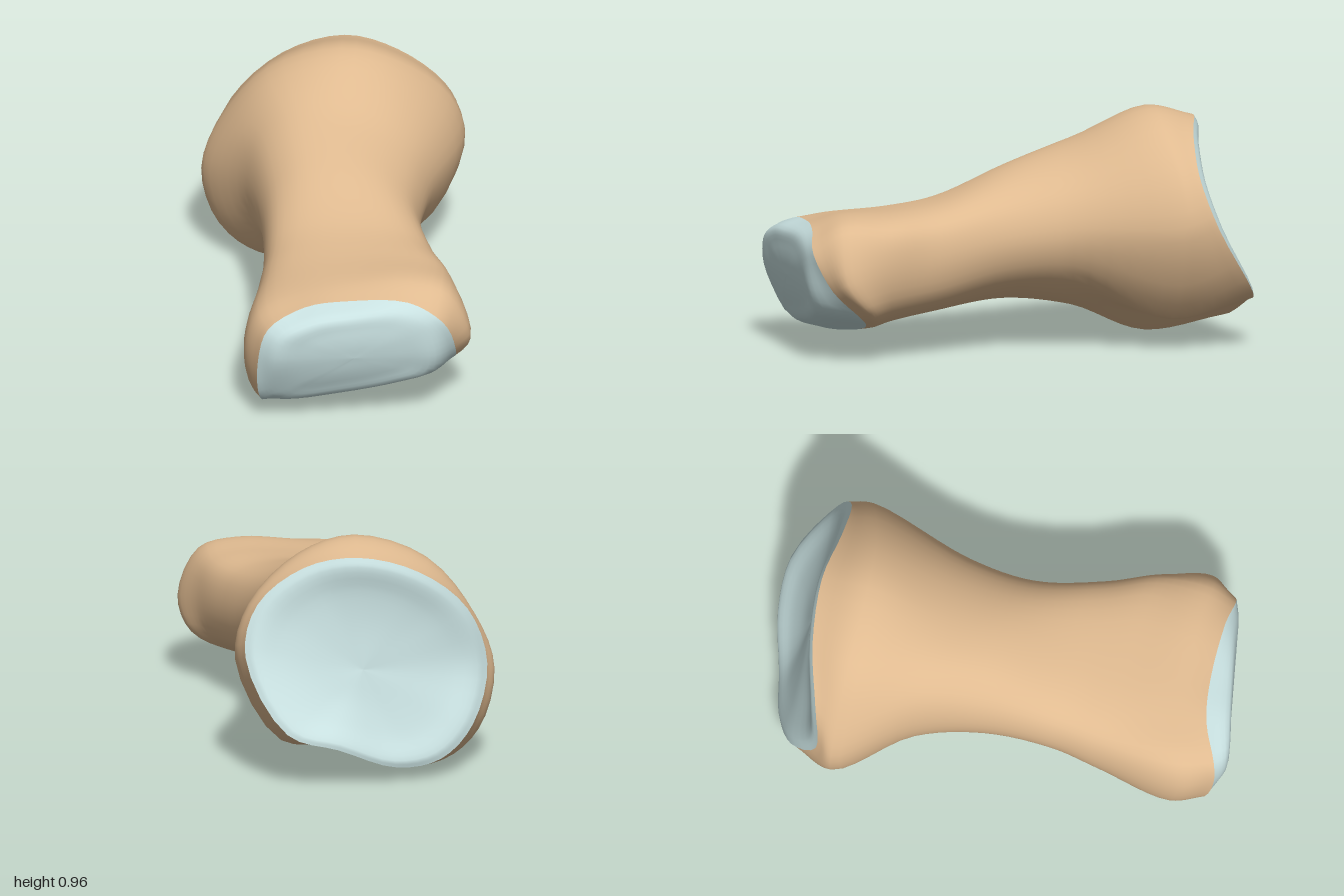
import * as THREE from 'three';

const COUNT = 12; // control points per cross-section, roughly every 30 degrees
const AROUND = 48;

// Shaft cross-section: rounded box or ellipse between limits,
// sloping sideways and growing thinner towards +x by the taper
function shaftRing(z, left, right, bottom, top, roundness, slope, taper) {
  const cx = (left + right) / 2, cy = (bottom + top) / 2;
  const ring = [];
  for (let k = 0; k < COUNT; k++) {
    const a = (k / COUNT) * Math.PI * 2;
    const c = Math.cos(a), s = Math.sin(a);
    const u = Math.sign(c) * Math.pow(Math.abs(c), roundness);
    const v = Math.sign(s) * Math.pow(Math.abs(s), roundness);
    const x = u * (right - left) / 2;
    const y = v * (1 - taper * u) * (top - bottom) / 2;
    ring.push(new THREE.Vector3(cx + x, cy + y + slope * x, z));
  }
  return ring;
}

const toRing = (points) => points.map((p) => new THREE.Vector3(...p));

// Smooth skin through the rings, ordered so that faces point outwards
function loft(rings, along) {
  const smooth = rings.map((r) => {
    const curve = new THREE.CatmullRomCurve3(r, true);
    return Array.from({ length: AROUND }, (_, j) => curve.getPoint(j / AROUND));
  });
  const lines = Array.from({ length: AROUND }, (_, j) =>
    new THREE.CatmullRomCurve3(smooth.map((r) => r[j])));
  const pos = [], index = [];
  for (let i = 0; i <= along; i++) {
    for (const line of lines) pos.push(...line.getPoint(i / along).toArray());
  }
  for (let i = 0; i < along; i++) {
    for (let j = 0; j < AROUND; j++) {
      const a = i * AROUND + j, b = i * AROUND + (j + 1) % AROUND;
      index.push(a, b, b + AROUND, a, b + AROUND, a + AROUND);
    }
  }
  const geo = new THREE.BufferGeometry();
  geo.setAttribute('position', new THREE.Float32BufferAttribute(pos, 3));
  geo.setIndex(index);
  geo.computeVertexNormals();
  return geo;
}

// Rim and widest line of the large back end, with two lobes underneath
const backRim = toRing([
  [0.38, 0.52, -0.84], [0.33, 0.72, -0.765], [0.14, 0.87, -0.745], [-0.08, 0.915, -0.755],
  [-0.33, 0.84, -0.71], [-0.53, 0.66, -0.63], [-0.61, 0.42, -0.6], [-0.55, 0.2, -0.73],
  [-0.42, 0.08, -0.82], [-0.24, 0.06, -0.88], [0.0, 0.16, -0.97], [0.21, 0.23, -0.985],
]);
const backBulge = toRing([
  [0.42, 0.47, -0.7], [0.365, 0.7, -0.68], [0.16, 0.89, -0.6], [-0.07, 0.955, -0.56],
  [-0.37, 0.85, -0.54], [-0.56, 0.61, -0.53], [-0.64, 0.38, -0.53], [-0.57, 0.13, -0.54],
  [-0.42, 0.015, -0.55], [-0.21, 0.005, -0.56], [0.03, 0.12, -0.62], [0.24, 0.13, -0.66],
]);

// Widest line and rim of the flatter front end
const frontBulge = toRing([
  [0.635, 0.34, 0.68], [0.55, 0.535, 0.7], [0.39, 0.58, 0.7], [0.15, 0.56, 0.72],
  [-0.05, 0.525, 0.76], [-0.22, 0.46, 0.82], [-0.275, 0.3, 0.84], [-0.25, 0.09, 0.78],
  [-0.18, 0.04, 0.7], [0.1, 0.075, 0.61], [0.4, 0.13, 0.57], [0.58, 0.21, 0.59],
]);
const frontRim = toRing([
  [0.58, 0.3, 0.74], [0.54, 0.45, 0.82], [0.4, 0.53, 0.82], [0.15, 0.53, 0.84],
  [-0.02, 0.51, 0.88], [-0.16, 0.44, 0.96], [-0.2, 0.3, 0.97], [-0.2, 0.1, 0.91],
  [-0.16, 0.04, 0.78], [0.1, 0.065, 0.66], [0.4, 0.13, 0.6], [0.55, 0.19, 0.63],
]);

export function createModel() {
  const group = new THREE.Group();
  const add = (name, geometry, color) => {
    const mesh = new THREE.Mesh(geometry, new THREE.MeshStandardMaterial({ color }));
    mesh.name = name;
    group.add(mesh);
  };

  // Bone body from the back rim to the front rim
  add('boneShaft', loft([
    backRim, backBulge,
    shaftRing(-0.25, -0.43, 0.335, 0.14, 0.81, 0.95, 0, 0.14),
    shaftRing(0.02, -0.32, 0.34, 0.18, 0.715, 0.9, 0, 0.1),
    shaftRing(0.3, -0.27, 0.45, 0.155, 0.605, 0.75, 0.03, 0),
    shaftRing(0.5, -0.27, 0.55, 0.115, 0.575, 0.65, 0.08, 0),
    frontBulge, frontRim,
  ], 42), 0xdfba90);

  // Shallow joint surface at the back: a tilted hollow with a rounded lip
  const backCentre = new THREE.Vector3(-0.1, 0.45, 0);
  const hollow = (t, lip) => backRim.map((p) => {
    const plane = (q) => -0.79 - 0.2 * (q.x + 0.1) + 0.22 * (q.y - 0.45);
    const q = backCentre.clone().lerp(p, t);
    q.z = plane(q) + (p.z - plane(p)) * t * t - lip;
    return q;
  });
  add('backJointSurface', loft(
    [hollow(0, 0), hollow(0.4, 0), hollow(0.7, 0.005), hollow(0.92, 0.018), hollow(1, 0)], 16), 0xc8e0e0);

  // Rounded knuckle surface at the front
  const frontCentre = new THREE.Vector3(0.19, 0.31, 0);
  const knuckle = (t) => frontRim.map((p) => {
    const q = p.clone().lerp(frontCentre, t);
    q.z = 0.975 - 0.26 * q.x - 1.2 * (q.y - 0.4) ** 2;
    return q;
  });
  add('frontJointSurface', loft(
    [frontRim, knuckle(0.18), knuckle(0.45), knuckle(0.72), knuckle(1)], 16), 0xc8e0e0);

  return group;
}
